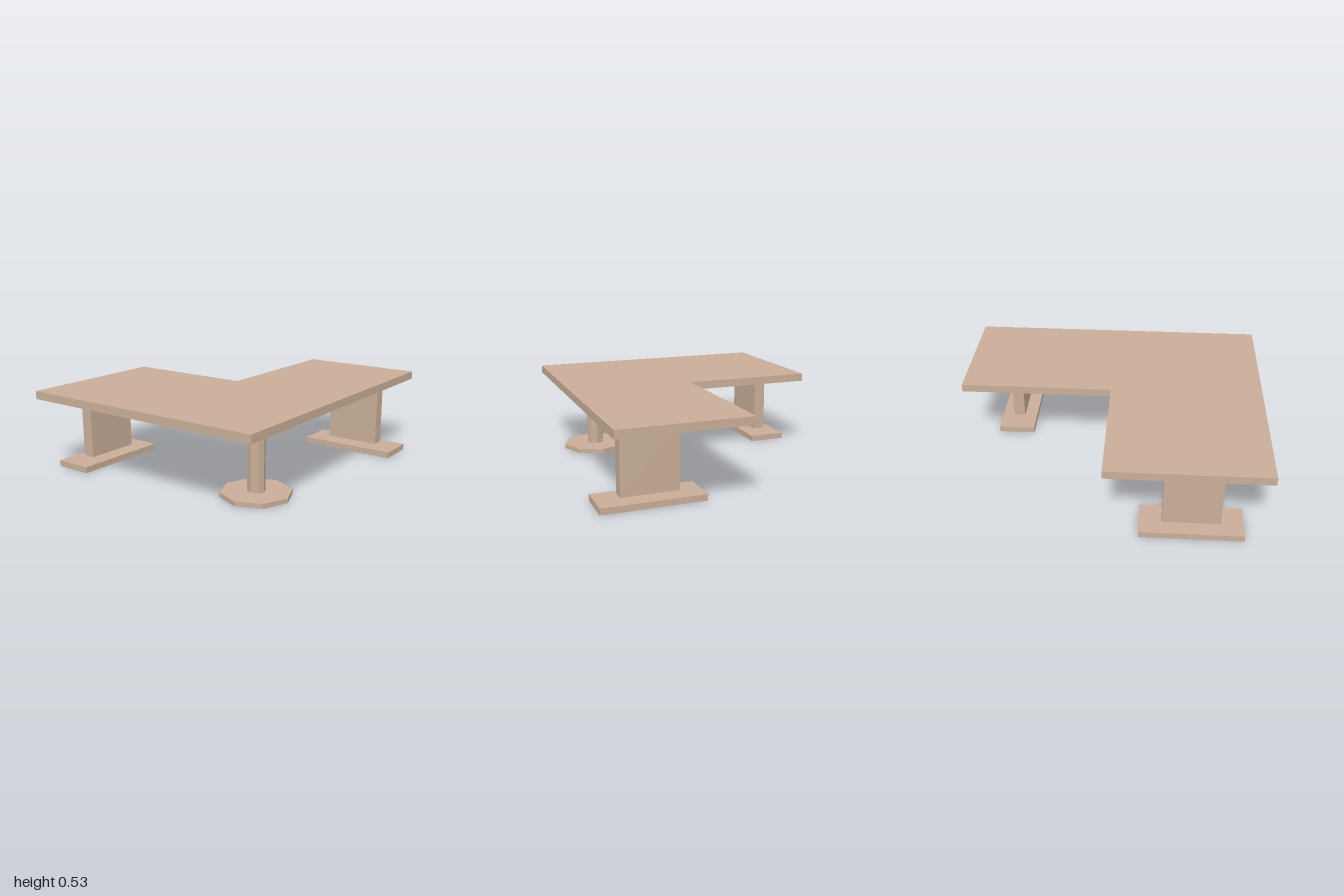
import * as THREE from 'three';

export function createModel() {
  const model = new THREE.Group();
  model.name = 'cornerDesk';
  const wood = new THREE.MeshStandardMaterial({ color: 0xc9ae98 });
  wood.name = 'light wood';
  wood.flatShading = true;

  const add = (parent, name, geometry, x, y, z) => {
    const mesh = new THREE.Mesh(geometry, wood);
    mesh.name = name;
    mesh.position.set(x, y, z);
    parent.add(mesh);
    return mesh;
  };

  // L-shaped top, drawn in x and -z, then laid flat
  const outline = new THREE.Shape(
    [[-1, -0.815], [1, -0.815], [1, 0.005], [0, 0.005], [0, 0.86], [-1, 0.86]]
      .map(([x, y]) => new THREE.Vector2(x, y))
  );
  const topGeometry = new THREE.ExtrudeGeometry(outline, { depth: 0.052, bevelEnabled: false });
  topGeometry.rotateX(-Math.PI / 2);
  add(model, 'deskTop', topGeometry, 0, 0.479, 0);

  // Panel legs on flat feet, one at the end of each wing
  const panelLeg = (name, x, z, turn) => {
    const leg = new THREE.Group();
    leg.name = name;
    leg.position.set(x, 0, z);
    leg.rotation.y = turn;
    add(leg, 'foot', new THREE.BoxGeometry(0.65, 0.04, 0.25), 0, 0.02, 0);
    add(leg, 'panel', new THREE.BoxGeometry(0.365, 0.415, 0.08), 0, 0.2625, 0);
    model.add(leg);
  };
  panelLeg('backLeg', -0.543, -0.703, 0);
  panelLeg('sideLeg', 0.697, 0.533, Math.PI / 2);

  // Eight-sided pedestal under the corner
  const pedestal = new THREE.Group();
  pedestal.name = 'cornerPedestal';
  pedestal.position.set(-0.543, 0, 0.533);
  add(pedestal, 'base', new THREE.CylinderGeometry(0.222, 0.222, 0.03, 8), 0, 0.015, 0);
  add(pedestal, 'column', new THREE.CylinderGeometry(0.055, 0.055, 0.449, 8), 0, 0.2545, 0);
  model.add(pedestal);

  return model;
}
